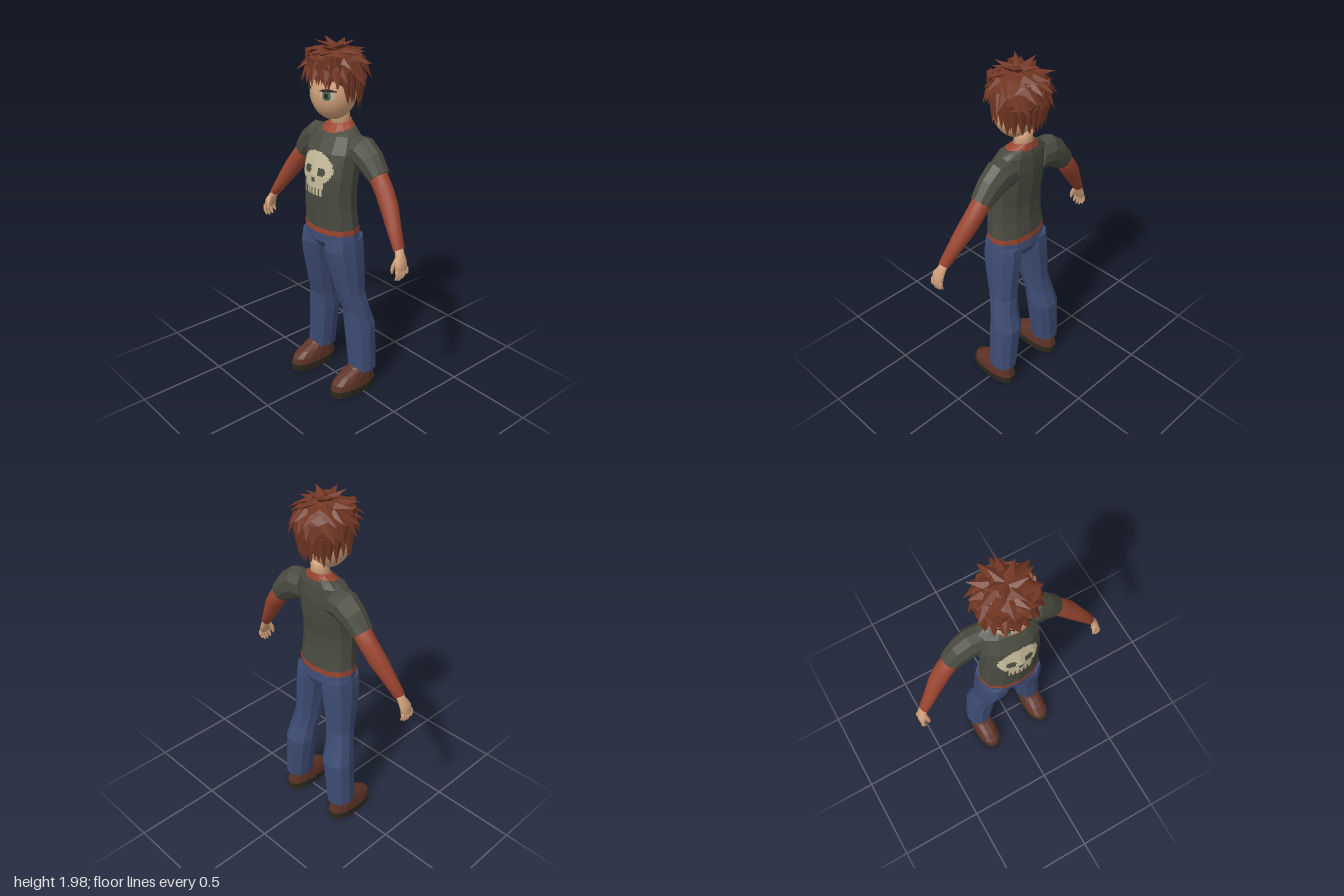
import * as THREE from 'three';
import { mergeGeometries } from 'three/addons/utils/BufferGeometryUtils.js';

const mat = (name, color) => Object.assign(new THREE.MeshStandardMaterial({ color }), { name });

let seed = 7;
const rnd = () => (seed = (seed * 16807) % 2147483647) / 2147483647;
const jit = (a) => (rnd() * 2 - 1) * a;

// Skin a list of elliptical rings [x, y, z, ru, rv, tilt, dip], ordered from top to bottom.
function loft(rings, { n = 12, side = 1, smooth = false, p = 1 } = {}) {
  const pos = [], idx = [];
  const tri = (a, b, c) => (side > 0 ? idx.push(a, b, c) : idx.push(a, c, b));
  const pw = (v) => Math.sign(v) * Math.abs(v) ** p;
  for (const [x, y, z, ru, rv, tilt = 0, dip = 0] of rings) {
    for (let j = 0; j < n; j++) {
      const a = (j / n) * Math.PI * 2, c = pw(Math.cos(a)) * ru, s = pw(Math.sin(a));
      pos.push(side * (x + c * Math.cos(tilt)), y + c * Math.sin(tilt) - dip * s, z + s * rv);
    }
  }
  const last = rings.length - 1, top = rings.length * n, bottom = top + 1;
  for (const r of [rings[0], rings[last]]) pos.push(side * r[0], r[1], r[2]);
  for (let j = 0; j < n; j++) {
    const k = (j + 1) % n;
    for (let i = 0; i < last; i++) {
      tri(i * n + j, i * n + k, (i + 1) * n + k);
      tri(i * n + j, (i + 1) * n + k, (i + 1) * n + j);
    }
    tri(top, k, j);
    tri(bottom, last * n + j, last * n + k);
  }
  let g = new THREE.BufferGeometry();
  g.setAttribute('position', new THREE.Float32BufferAttribute(pos, 3));
  g.setIndex(idx);
  if (!smooth) g = g.toNonIndexed();
  g.computeVertexNormals();
  return g;
}

// Ring given by its height, half width, front z and back z.
const band = (y, hw, zf, zb, x = 0, dip = 0) => [x, y, (zf + zb) / 2, hw, (zf - zb) / 2, 0, dip];

// Thin painted patch: grid cells passing the test, laid onto the front of a target mesh.
function patch(target, [x0, x1, y0, y1], step, lift, test) {
  const ray = new THREE.Raycaster(), pos = [];
  const hit = (x, y) => {
    ray.set(new THREE.Vector3(x, y, 2), new THREE.Vector3(0, 0, -1));
    const h = ray.intersectObject(target)[0];
    return h && [x, y, h.point.z + lift];
  };
  const nx = Math.round((x1 - x0) / step), ny = Math.round((y1 - y0) / step);
  for (let i = 0; i < nx; i++) for (let j = 0; j < ny; j++) {
    const x = x0 + i * step, y = y0 + j * step;
    if (!test(x + step / 2, y + step / 2, i)) continue;
    const q = [hit(x, y), hit(x + step, y), hit(x + step, y + step), hit(x, y + step)];
    if (q.every(Boolean)) pos.push(...q[0], ...q[1], ...q[2], ...q[0], ...q[2], ...q[3]);
  }
  const g = new THREE.BufferGeometry();
  g.setAttribute('position', new THREE.Float32BufferAttribute(pos, 3));
  g.computeVertexNormals();
  return g;
}
const inside = (x, y, cx, cy, rx, ry) => ((x - cx) / rx) ** 2 + ((y - cy) / ry) ** 2 < 1;

// Flat pointed lock of hair from base to tip.
const hairCentre = new THREE.Vector3(0, 1.82, -0.008);
function lock(base, tip, w) {
  const d = tip.clone().sub(base), h = d.length();
  d.normalize();
  const out = base.clone().sub(hairCentre);
  out.addScaledVector(d, -out.dot(d)).normalize();
  const g = new THREE.ConeGeometry(w, h, 4).toNonIndexed();
  g.scale(1, 1, 0.5);
  g.computeVertexNormals();
  const m = new THREE.Matrix4().makeBasis(new THREE.Vector3().crossVectors(d, out), d, out);
  return g.applyMatrix4(m.setPosition(base.clone().lerp(tip, 0.5)));
}

function hairGeometry() {
  // Cap with a raised hairline at the front
  const cap = new THREE.IcosahedronGeometry(1, 3);
  cap.scale(0.147, 0.125, 0.15).translate(0, 1.82, -0.008);
  const p = cap.attributes.position;
  for (let i = 0; i < p.count; i++) p.setY(i, Math.max(p.getY(i), p.getZ(i) > 0.05 ? 1.8 : 1.7));
  cap.computeVertexNormals();
  const parts = [cap];
  // Rows of locks over the crown
  [[82, 6, 0.6], [62, 10, 0.5], [42, 14, 0.3], [20, 18, 0.12]].forEach(([deg, count, lift], r) => {
    for (let k = 0; k < count; k++) {
      const e = (deg + jit(6)) * Math.PI / 180, f = ((k + r * 0.4 + jit(0.3)) / count) * Math.PI * 2;
      const nrm = new THREE.Vector3(Math.cos(e) * Math.sin(f), Math.sin(e), Math.cos(e) * Math.cos(f));
      const down = new THREE.Vector3(Math.sin(e) * Math.sin(f), -Math.cos(e), Math.sin(e) * Math.cos(f));
      const swirl = new THREE.Vector3(Math.cos(f), 0, -Math.sin(f));
      const base = nrm.clone().multiply(new THREE.Vector3(0.145, 0.12, 0.148)).add(hairCentre);
      const dir = down.addScaledVector(nrm, lift + jit(0.1)).addScaledVector(swirl, 0.25 + jit(0.3)).normalize();
      parts.push(lock(base, base.clone().addScaledVector(dir, 0.095 + jit(0.015)), 0.036));
    }
  });
  // Fringe, side and nape locks hanging to the hairline
  for (const [row, count] of [[0, 26], [1, 24]]) for (let k = 0; k < count; k++) {
    const f = ((k + row * 0.5 + jit(0.2)) / count) * Math.PI * 2, c = Math.cos(f);
    const at = (r, y, a) => new THREE.Vector3(Math.sin(a) * r, y, Math.cos(a) * r - 0.005);
    const tipY = (c > 0.5 ? 1.77 : c > -0.3 ? 1.67 : 1.64) + row * 0.02 + jit(0.018);
    const tipR = c > 0.5 ? 0.15 : c > -0.3 ? 0.146 : 0.13;
    const len = c > 0.5 ? 0.125 : 0.15;
    parts.push(lock(at(c > 0.5 ? 0.138 : 0.143, tipY + len, f), at(tipR, tipY, f + jit(0.1)), 0.034));
  }
  return mergeGeometries(parts);
}

export function createModel() {
  const skin = mat('skin', 0xd3a27c), hairMat = mat('hair', 0x713623), shirt = mat('shirt', 0x4a4b40);
  const red = mat('undershirt', 0x9a4530), denim = mat('denim', 0x3e4c74), leather = mat('shoe leather', 0x5e3327);
  const rubber = mat('sole rubber', 0x2e281c), cream = mat('cream', 0xc6bb9b);
  const iris = mat('iris', 0x4a6650), ink = mat('lash', 0x231c18);
  const root = new THREE.Group();
  root.name = 'standingBoy';
  const add = (name, g, m) => {
    const mesh = new THREE.Mesh(g, m);
    mesh.name = name;
    root.add(mesh);
    return mesh;
  };

  // Head and neck
  const headGeo = new THREE.SphereGeometry(1, 28, 20);
  headGeo.scale(0.125, 0.15, 0.12).translate(0, 1.725, 0.012);
  const head = add('head', headGeo, skin);
  add('neck', loft([band(1.64, 0.05, 0.015, -0.09), band(1.59, 0.048, 0.01, -0.088), band(1.53, 0.06, 0.015, -0.09)], { smooth: true }), skin);
  add('hair', hairGeometry(), hairMat);

  // Torso, collar and hem
  const torso = add('shirtBody', loft([
    band(1.535, 0.1, 0.035, -0.095, 0, 0.012), band(1.505, 0.15, 0.065, -0.105), band(1.42, 0.175, 0.118, -0.11),
    band(1.3, 0.168, 0.15, -0.1), band(1.2, 0.163, 0.152, -0.085), band(1.1, 0.165, 0.146, -0.085),
    band(0.995, 0.175, 0.14, -0.095),
  ], { p: 0.95 }), shirt);
  add('collar', loft([band(1.56, 0.062, 0.022, -0.093, 0, 0.012), band(1.522, 0.108, 0.058, -0.1, 0, 0.014)]), red);
  add('hem', loft([band(1.002, 0.176, 0.141, -0.097), band(0.972, 0.177, 0.142, -0.097)], { p: 0.95 }), red);
  add('pelvis', loft([band(0.985, 0.172, 0.137, -0.092), band(0.92, 0.184, 0.138, -0.1), band(0.865, 0.12, 0.09, -0.075)], { p: 0.95 }), denim);

  // Skull print with open eye sockets, nose and tooth gaps
  add('skullPrint', patch(torso, [-0.116, 0.116, 1.182, 1.43], 0.008, 0.004, (x, y, i) => {
    const ax = Math.abs(x);
    if (inside(ax, y, 0.05, 1.322, 0.026, 0.023) || (ax < 0.012 && y > 1.258 && y < 1.284)) return false;
    if (y < 1.232 && i % 3 === 1) return false;
    return inside(x, y, 0, 1.335, 0.114, 0.088) || (ax < 0.07 && y > 1.186 && y < 1.28);
  }), cream);

  for (const side of [1, -1]) {
    const label = side > 0 ? 'left' : 'right';
    const make = (name, rings, m, opt) => add(label + name, loft(rings, { side, ...opt }), m);

    // Eye, iris and lash
    const area = side > 0 ? [0.02, 0.12, 1.68, 1.78] : [-0.12, -0.02, 1.68, 1.78];
    const eye = (x, y) => inside(Math.abs(x), y, 0.068, 1.724, 0.034, 0.027);
    const ring = (x, y) => inside(Math.abs(x), y, 0.066, 1.724, 0.02, 0.025);
    const lid = (x, y) => inside(Math.abs(x), y, 0.069, 1.728, 0.043, 0.031) && y > 1.742;
    const pupil = (x, y) => inside(Math.abs(x), y, 0.066, 1.724, 0.008, 0.012);
    add(label + 'EyeWhite', patch(head, area, 0.004, 0.002, (x, y) => eye(x, y) && !ring(x, y) && !lid(x, y)), cream);
    add(label + 'Iris', patch(head, area, 0.004, 0.002, (x, y) => ring(x, y) && !lid(x, y) && !pupil(x, y)), iris);
    add(label + 'Lash', patch(head, area, 0.004, 0.003, (x, y) => lid(x, y) || pupil(x, y)), ink);

    // Arm
    make('Sleeve', [[0.1, 1.43, -0.03, 0.085, 0.075, 1.3], [0.17, 1.43, -0.035, 0.09, 0.075, 1.15],
      [0.235, 1.39, -0.038, 0.08, 0.068, 0.9], [0.3, 1.325, -0.038, 0.061, 0.058, 0.75]], shirt, { n: 10 });
    make('Arm', [[0.28, 1.345, -0.037, 0.052, 0.05, 0.75], [0.345, 1.265, -0.032, 0.051, 0.05, 0.7],
      [0.398, 1.193, -0.02, 0.05, 0.048, 0.62], [0.46, 1.1, 0.003, 0.038, 0.039, 0.6],
      [0.517, 1.015, 0.022, 0.027, 0.032, 0.6]], red, { smooth: true });

    // Hand with four fingers and a thumb
    make('Hand', [[0.508, 1.03, 0.02, 0.022, 0.026, 0.6], [0.525, 1, 0.026, 0.021, 0.026, 0.5],
      [0.544, 0.965, 0.036, 0.021, 0.037, 0.3], [0.556, 0.92, 0.04, 0.015, 0.041, 0.1]], skin, { n: 10, smooth: true });
    for (let k = 0; k < 4; k++) {
      const z = 0.008 + k * 0.021, end = 0.862 + [0.02, 0.004, 0, 0.008][k];
      make('Finger' + (k + 1), [[0.556, 0.93, z, 0.012, 0.011], [0.56, 0.9, z, 0.011, 0.01],
        [0.554, end + 0.014, z, 0.01, 0.009], [0.546, end, z, 0.005, 0.005]], skin, { n: 6, smooth: true });
    }
    make('Thumb', [[0.535, 0.985, 0.05, 0.013, 0.014], [0.528, 0.95, 0.068, 0.012, 0.013],
      [0.524, 0.92, 0.074, 0.01, 0.01], [0.525, 0.903, 0.075, 0.005, 0.005]], skin, { n: 6, smooth: true });

    // Trouser leg
    make('Leg', [band(0.94, 0.086, 0.132, -0.095, 0.094), band(0.88, 0.09, 0.138, -0.1, 0.098),
      band(0.8, 0.085, 0.125, -0.098, 0.108), band(0.6, 0.074, 0.076, -0.09, 0.126), band(0.5, 0.08, 0.045, -0.105, 0.143),
      band(0.4, 0.087, 0.04, -0.138, 0.153), band(0.12, 0.075, 0.032, -0.13, 0.18)], denim, { n: 10, p: 0.9 });

    // Shoe
    make('ShoeUpper', [band(0.16, 0.052, 0.02, -0.1, 0.18), band(0.14, 0.054, 0.045, -0.108, 0.18),
      band(0.108, 0.06, 0.115, -0.118, 0.18), band(0.075, 0.065, 0.165, -0.123, 0.18),
      band(0.036, 0.067, 0.174, -0.127, 0.18)], leather, { n: 14, p: 0.85 });
    make('Sole', [band(0.04, 0.07, 0.18, -0.132, 0.18), band(0, 0.069, 0.178, -0.13, 0.18)], rubber, { n: 14, p: 0.85 });
  }
  return root;
}
